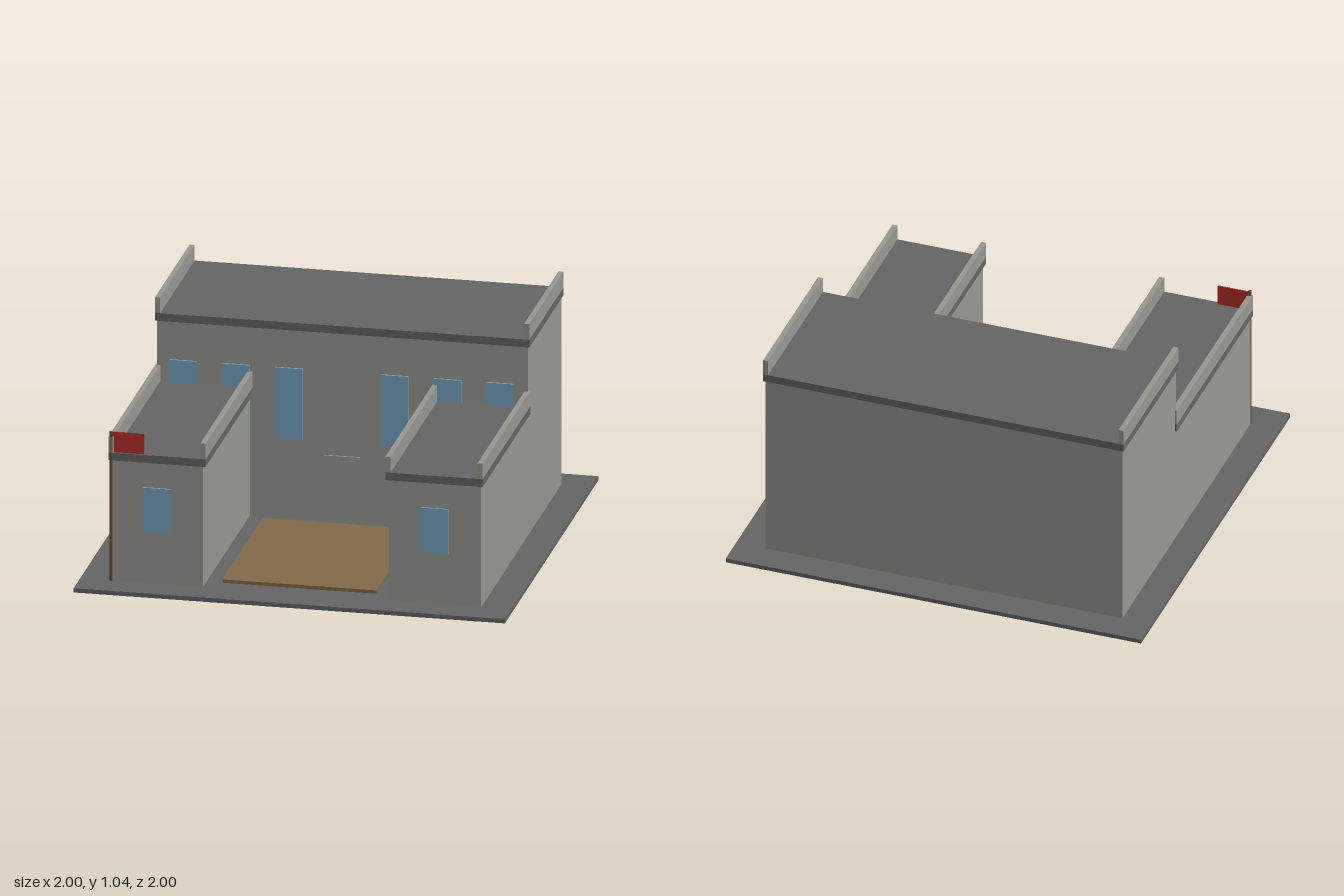
import * as THREE from 'three';

const mat = (name, color) => {
  const m = new THREE.MeshStandardMaterial({ color });
  m.name = name;
  return m;
};

export function createModel() {
  const stone = mat('wall grey', 0x999992);
  const slate = mat('roof grey', 0x666666);
  const glass = mat('window blue', 0x76a5c4);
  const earth = mat('courtyard brown', 0x846b4a);
  const wood = mat('pole brown', 0x6b4a2a);
  const red = mat('flag red', 0xb83028);

  const model = new THREE.Group();
  model.name = 'courtyardBuilding';

  // Box given by its extents along each axis
  const box = (name, material, [x0, x1], [y0, y1], [z0, z1], parent = model) => {
    const mesh = new THREE.Mesh(new THREE.BoxGeometry(x1 - x0, y1 - y0, z1 - z0), material);
    mesh.position.set((x0 + x1) / 2, (y0 + y1) / 2, (z0 + z1) / 2);
    mesh.name = name;
    parent.add(mesh);
    return mesh;
  };

  // Ground and courtyard
  box('groundPlate', slate, [-1, 1], [0, 0.02], [-1, 1]);
  box('courtyardFloor', earth, [-0.357, 0.357], [0.02, 0.036], [-0.075, 0.783]);

  // A block with a roof slab and a parapet along each side
  const block = (name, x, top, z, slabX, slabZ) => {
    const g = new THREE.Group();
    g.name = name;
    model.add(g);
    const roof = top + 0.037, rail = 0.024;
    box('walls', stone, x, [0.02, top], z, g);
    box('roofSlab', slate, slabX, [top, roof], slabZ, g);
    box('parapetRight', stone, [slabX[0], slabX[0] + rail], [roof, roof + 0.075], slabZ, g);
    box('parapetLeft', stone, [slabX[1] - rail, slabX[1]], [roof, roof + 0.075], slabZ, g);
  };
  block('mainHall', [-0.86, 0.86], 0.927, [-0.86, -0.14], [-0.868, 0.868], [-0.868, -0.131]);
  block('leftWing', [0.43, 0.86], 0.6, [-0.14, 0.86], [0.417, 0.868], [-0.155, 0.868]);
  block('rightWing', [-0.86, -0.43], 0.6, [-0.14, 0.86], [-0.868, -0.417], [-0.155, 0.868]);

  // Windows of the main hall and of the wing ends
  for (const x of [-0.738, -0.493, -0.248, 0.242, 0.487, 0.732]) {
    box('hallWindow', glass, [x - 0.064, x + 0.064], [0.405, 0.744], [-0.14, -0.131]);
  }
  for (const x of [-0.643, 0.643]) {
    box('wingWindow', glass, [x - 0.065, x + 0.065], [0.265, 0.48], [0.86, 0.868]);
  }

  // Door
  box('door', stone, [-0.085, 0.082], [0.02, 0.338], [-0.14, -0.131]);

  // Flag on its corner pole
  const pole = new THREE.Mesh(new THREE.CylinderGeometry(0.007, 0.007, 0.717, 8), wood);
  pole.position.set(-0.856, 0.3785, 0.862);
  pole.name = 'flagPole';
  model.add(pole);
  box('flag', red, [-0.85, -0.704], [0.635, 0.734], [0.852, 0.859]);

  return model;
}
